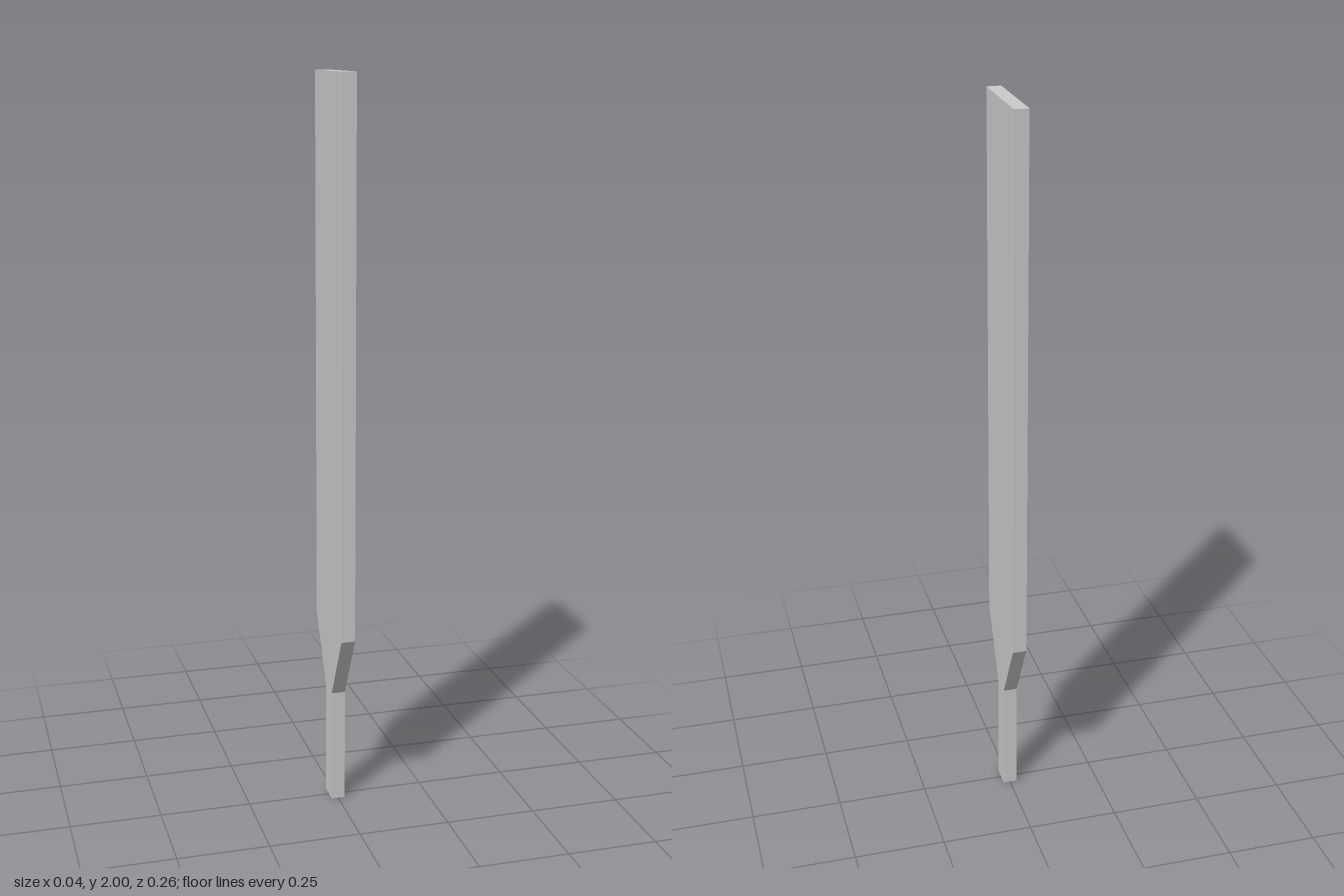
import * as THREE from 'three';

export function createModel() {
  const group = new THREE.Group();
  group.name = 'paddle';
  const thickness = 0.038;

  // Half outline as [half width, height], mirrored to the other side
  const half = [[0.03, 0], [0.03, 0.32], [0.13, 0.507], [0.13, 2]];
  const mirrored = half.map(([w, y]) => [-w, y]).reverse();
  const outline = new THREE.Shape([...half, ...mirrored].map(([w, y]) => new THREE.Vector2(w, y)));

  // Flat blade, tapered shoulder and narrow handle in one piece
  const geometry = new THREE.ExtrudeGeometry(outline, { depth: thickness, bevelEnabled: false });
  geometry.translate(0, 0, -thickness / 2);
  geometry.rotateY(Math.PI / 2);

  const material = new THREE.MeshStandardMaterial({ color: 0xcccccc, flatShading: true });
  const blade = new THREE.Mesh(geometry, material);
  blade.name = 'bladeAndHandle';
  group.add(blade);
  return group;
}
